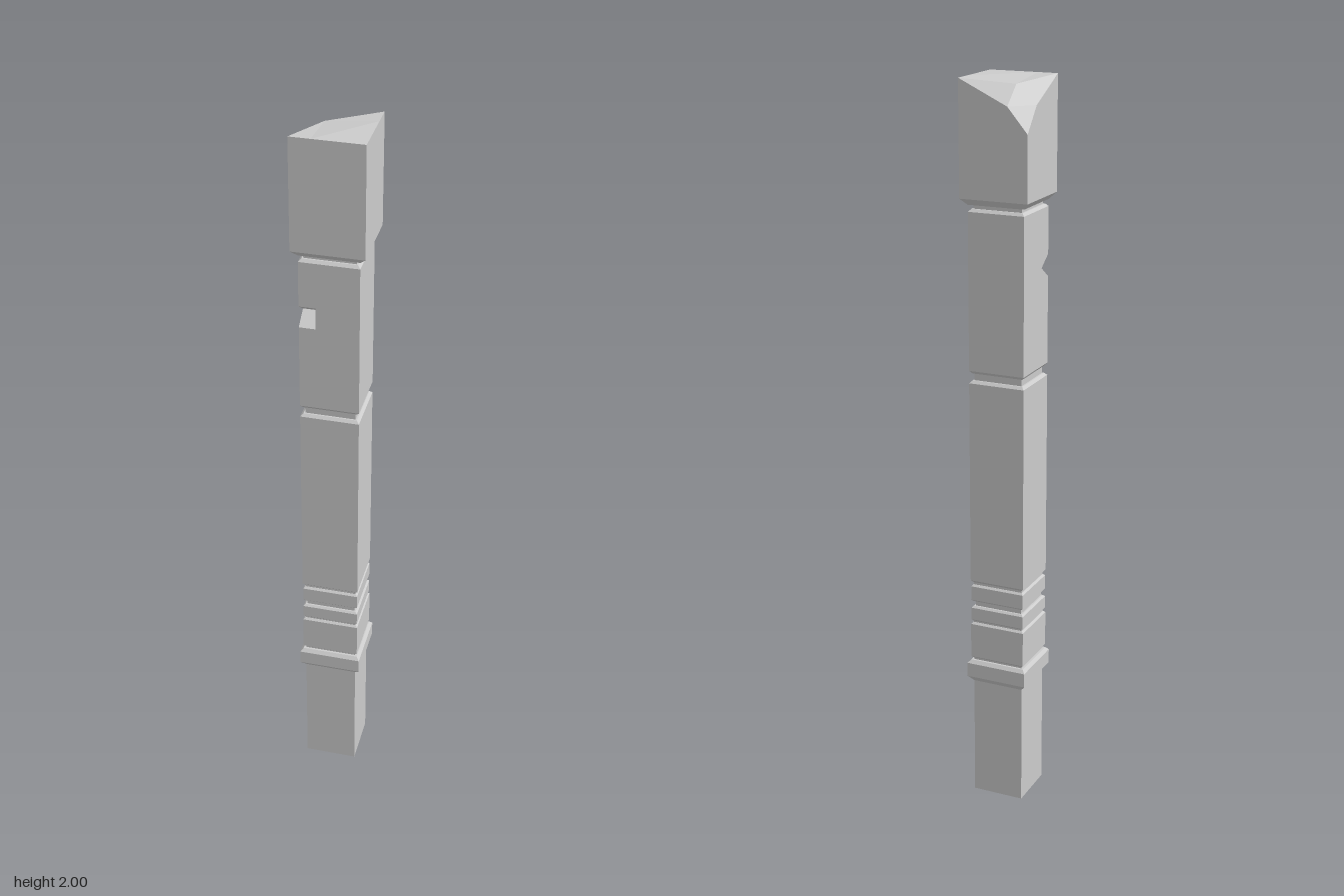
import * as THREE from 'three';

const material = new THREE.MeshStandardMaterial({ color: 0xcccccc, flatShading: true });

function addMesh(group, name, geometry) {
  const flat = geometry.index ? geometry.toNonIndexed() : geometry;
  flat.computeVertexNormals();
  const mesh = new THREE.Mesh(flat, material);
  mesh.name = name;
  group.add(mesh);
}

// Square turned section: profile of [half width, y] from bottom to top, closed at both ends
function squareLathe(profile) {
  const points = [[0, profile[0][1]], ...profile, [0, profile[profile.length - 1][1]]]
    .map(([half, y]) => new THREE.Vector2(half * Math.SQRT2, y));
  return new THREE.LatheGeometry(points, 4, Math.PI / 4);
}

// Straight block with slightly bevelled top and bottom edges
const block = (half, y0, y1, bevel = 0.005) => [
  [half - bevel, y0], [half, y0 + bevel], [half, y1 - bevel], [half - bevel, y1],
];

export function createModel() {
  const post = new THREE.Group();
  post.name = 'post';
  const S = 0.078; // half width of the shaft

  addMesh(post, 'foot', squareLathe([[0.072, 0], [0.072, 0.35]]));
  addMesh(post, 'collar', squareLathe([
    [0.072, 0.343], [0.086, 0.36], [0.086, 0.4], [0.078, 0.409], [0.07, 0.409],
  ]));

  // Stacked bands with narrow grooves, then the long middle shaft
  addMesh(post, 'bands', squareLathe([
    [0.072, 0.405], [0.072, 0.414], ...block(S, 0.414, 0.522),
    [0.072, 0.522], [0.072, 0.526], ...block(0.077, 0.526, 0.571),
    [0.068, 0.571], [0.068, 0.585], ...block(0.077, 0.585, 0.635),
    [0.071, 0.635], [0.071, 0.641],
  ]));
  addMesh(post, 'middleShaft', squareLathe([
    ...block(S, 0.641, 1.218, 0.007), [0.067, 1.218], [0.067, 1.237],
  ]));

  // Upper shaft: bevelled ends, with a wedge cut in the front right edge
  const low = 1.245, high = 1.665, cutX = -0.035;
  addMesh(post, 'upperShaftBase', squareLathe([[0.071, 1.237], [S, low]]));
  addMesh(post, 'upperShaftEnd', squareLathe([[S, high], [0.071, 1.672]]));
  const plain = [[-S, low], [S, low], [S, high], [-S, high]];
  const notched = [[-S, low], [S, low], [S, 1.48], [S - 0.043, 1.51], [S, 1.54], [S, high], [-S, high]];
  for (const [name, outline, x0, x1] of [
    ['upperShaft', plain, cutX, S],
    ['notchedEdge', notched, -S, cutX],
  ]) {
    const shape = new THREE.Shape(outline.map(([z, y]) => new THREE.Vector2(z, y)));
    const geometry = new THREE.ExtrudeGeometry(shape, { depth: x1 - x0, bevelEnabled: false });
    geometry.rotateY(-Math.PI / 2).translate(x1, 0, 0);
    addMesh(post, name, geometry);
  }

  // Neck and flare under the head
  addMesh(post, 'neck', squareLathe([[0.067, 1.67], [0.067, 1.683], [0.078, 1.683], [0.094, 1.7]]));

  // Head: its back right corner slopes down in steps
  const H = 0.094, inner = -0.039, base = 1.7;
  const head = new THREE.BoxGeometry(2 * H, 1, 2 * H, 2, 1, 2);
  const pos = head.attributes.position;
  const drops = [[0.128, 0.063, 0], [0.063, 0.014, 0], [0, 0, 0]];
  const level = (v) => (v < -0.01 ? 0 : v < 0.01 ? 1 : 2);
  const place = [-H, inner, H];
  for (let i = 0; i < pos.count; i++) {
    const ix = level(pos.getX(i)), iz = level(pos.getZ(i));
    const y = pos.getY(i) > 0 ? 2 - drops[ix][iz] : base;
    pos.setXYZ(i, place[ix], y, place[iz]);
  }
  addMesh(post, 'head', head);

  return post;
}
